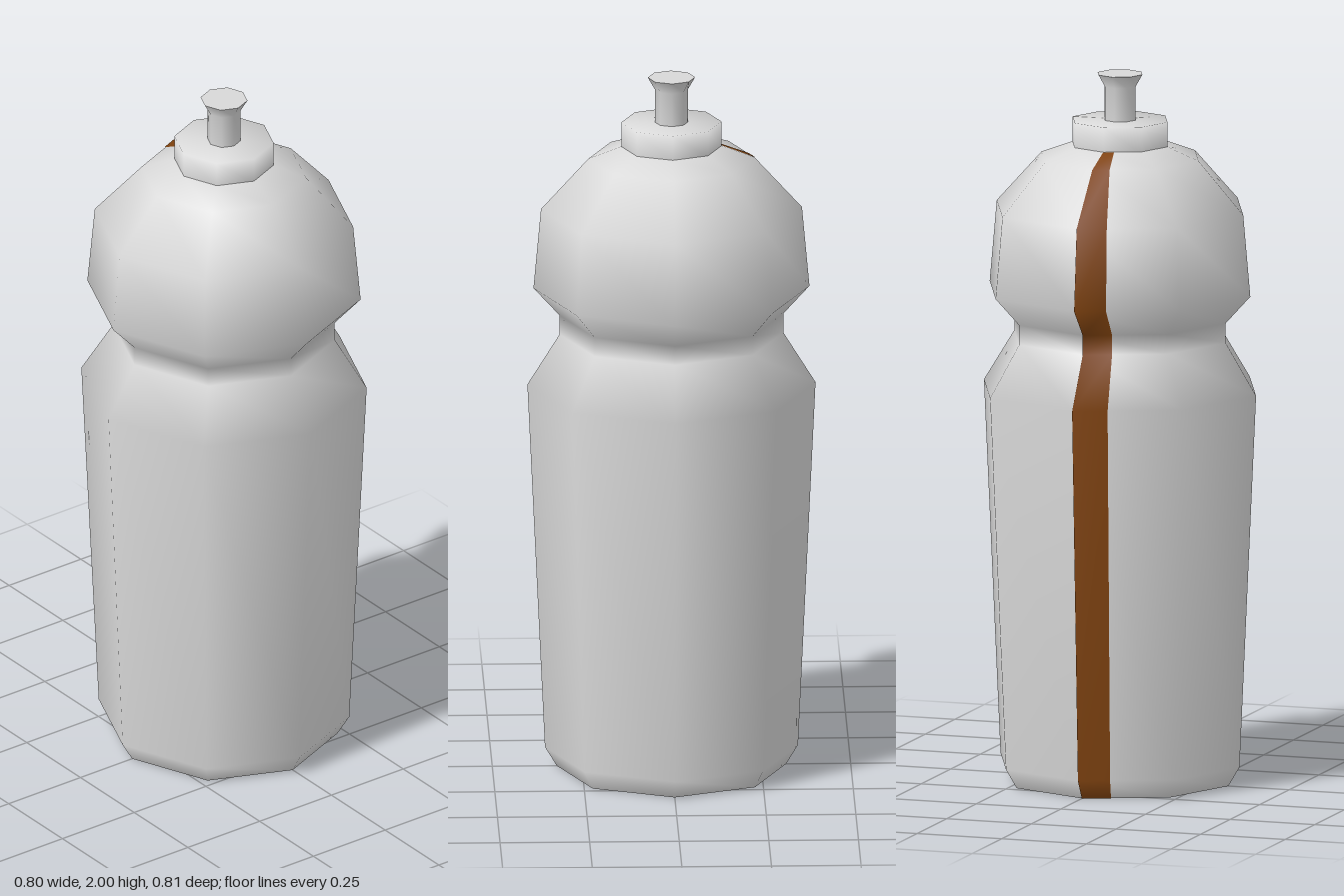
import * as THREE from 'three';

const SIDES = 8;

export function createModel() {
  const bottle = new THREE.Group();
  bottle.name = 'sportsBottle';
  const grey = new THREE.MeshStandardMaterial({ name: 'lightGrey', color: 0xd8d8d8 });
  const brown = new THREE.MeshStandardMaterial({ name: 'brown', color: 0x824410 });

  const add = (name, geometry, material = grey) => {
    const mesh = new THREE.Mesh(geometry, material);
    mesh.name = name;
    bottle.add(mesh);
    return mesh;
  };
  const lathe = (points) =>
    new THREE.LatheGeometry(points.map(([r, y]) => new THREE.Vector2(r, y)), SIDES);
  // Flat octagonal end, facing up (dir 1) or down (dir -1)
  const disc = (name, r, y, dir) => {
    const mesh = add(name, new THREE.CircleGeometry(r, SIDES).rotateX((-dir * Math.PI) / 2));
    mesh.position.y = y;
  };

  // Body: radius, height, and share of one side covered by the stripe
  const profile = [
    [0.32, 0, 0.33], [0.353, 0.055, 0.33], [0.402, 1.11, 0.32], [0.312, 1.255, 0.34],
    [0.312, 1.31, 0.34], [0.385, 1.39, 0.3], [0.364, 1.62, 0.3], [0.232, 1.765, 0.27],
    [0.14, 1.8, 0.28],
  ];
  add('body', lathe(profile));
  disc('base', 0.32, 0, -1);

  // Stripe: thin strip following the body down one back side
  const positions = [];
  const index = [];
  const corner = Math.SQRT1_2;
  profile.forEach(([r0, y, share], i) => {
    const r = r0 + 0.003;
    for (const t of [0, share]) positions.push(-t * r * corner, y, -r * (1 - t * (1 - corner)));
    if (i > 0) {
      const a = 2 * (i - 1);
      index.push(a, a + 1, a + 3, a, a + 3, a + 2);
    }
  });
  const stripe = new THREE.BufferGeometry();
  stripe.setAttribute('position', new THREE.Float32BufferAttribute(positions, 3));
  stripe.setIndex(index);
  stripe.computeVertexNormals();
  add('stripe', stripe, brown);

  // Cap collar with softly shaded rim
  add('cap', lathe([[0.14, 1.795], [0.14, 1.87], [0, 1.87]]));

  // Drinking nozzle with flared lip
  add('nozzle', lathe([[0.046, 1.865], [0.046, 1.965], [0.066, 2]]));
  disc('nozzleTop', 0.066, 2, 1);

  return bottle;
}
